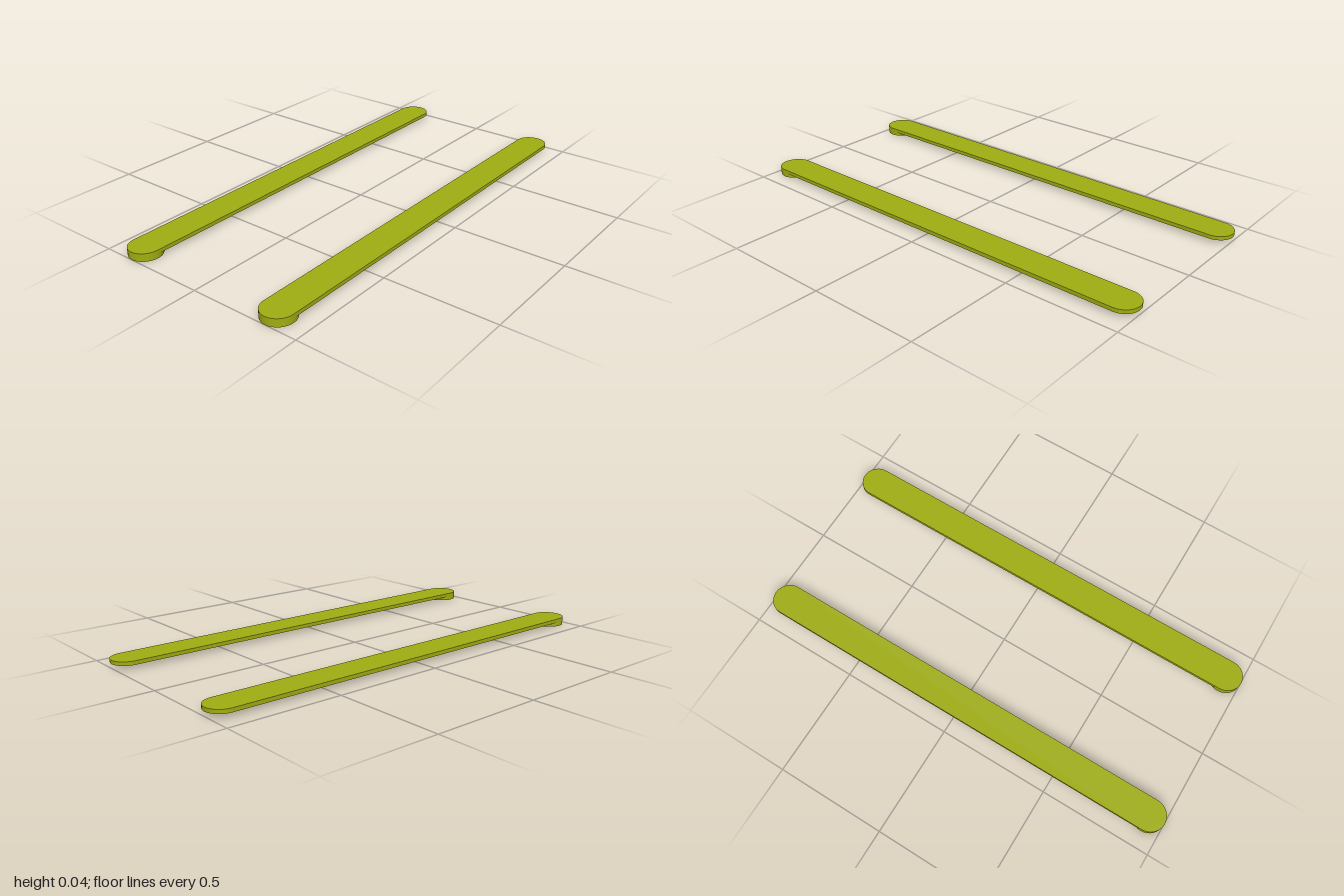
import * as THREE from 'three';

const RADIUS = 0.071, REACH = 1 - RADIUS, SPACING = 0.357;
const PAD_H = 0.019, BAR_H = 0.017;

export function createModel() {
  const group = new THREE.Group();
  const material = new THREE.MeshStandardMaterial({ color: 0xa0ae12 });

  // Flat bar with fully rounded ends
  const outline = new THREE.Shape();
  outline.absarc(REACH, 0, RADIUS, -Math.PI / 2, Math.PI / 2, false);
  outline.absarc(-REACH, 0, RADIUS, Math.PI / 2, Math.PI * 1.5, false);
  outline.closePath();
  const barGeometry = new THREE.ExtrudeGeometry(outline, {
    depth: BAR_H, bevelEnabled: false, curveSegments: 16,
  });
  barGeometry.rotateX(-Math.PI / 2);
  barGeometry.translate(0, PAD_H, 0);

  // Round pad under the right end
  const padGeometry = new THREE.CylinderGeometry(RADIUS, RADIUS, PAD_H, 32);
  padGeometry.translate(-REACH, PAD_H / 2, 0);

  for (const [side, z] of [['front', SPACING], ['back', -SPACING]]) {
    const hand = new THREE.Group();
    hand.name = side + 'Arm';
    const bar = new THREE.Mesh(barGeometry, material);
    bar.name = side + 'Bar';
    const pad = new THREE.Mesh(padGeometry, material);
    pad.name = side + 'Pad';
    hand.add(bar, pad);
    hand.position.z = z;
    group.add(hand);
  }
  return group;
}
